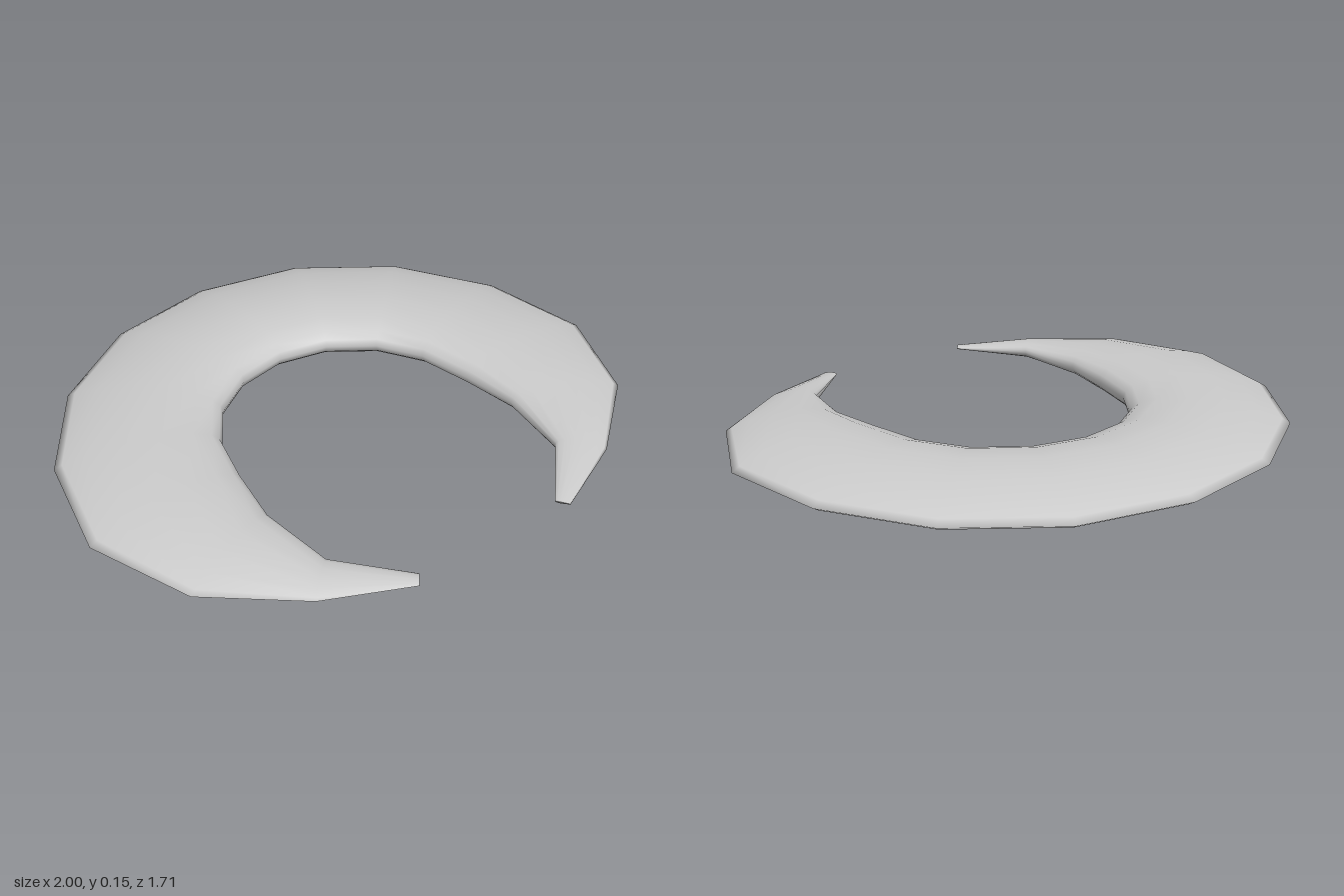
import * as THREE from 'three';

// Half of the crescent, from the middle of the back to the tip:
// inner x, inner z, outer x, outer z, half thickness
const STATIONS = [
  [0, -0.31, 0, -0.855, 0.075],
  [0.175, -0.275, 0.385, -0.78, 0.075],
  [0.325, -0.175, 0.71, -0.56, 0.075],
  [0.42, -0.03, 0.925, -0.235, 0.075],
  [0.465, 0.16, 1, 0.15, 0.075],
  [0.495, 0.355, 0.86, 0.5, 0.057],
  [0.46, 0.61, 0.58, 0.725, 0.031],
  [0.27, 0.81, 0.3, 0.85, 0.005],
];

// Upper half of the section: position from inner to outer edge, relative height
const UPPER = [
  [0, 0], [0.015, 0.32], [0.06, 0.6], [0.17, 0.86], [0.37, 1],
  [0.6, 0.86], [0.8, 0.56], [0.95, 0.22], [1, 0],
];

function crescentGeometry() {
  // Closed section: over the top, then back underneath
  const lower = UPPER.slice(1, -1).reverse().map(([t, h]) => [t, -h]);
  const section = [...UPPER, ...lower];
  const mirrored = STATIONS.slice(1).reverse().map(([a, b, c, d, h]) => [-a, b, -c, d, h]);
  const rings = [...mirrored, ...STATIONS];
  const n = section.length;
  const positions = [];
  const index = [];

  for (const [ix, iz, ox, oz, half] of rings) {
    for (const [t, h] of section) {
      positions.push(ix + (ox - ix) * t, 0.075 + half * h, iz + (oz - iz) * t);
    }
  }
  // Skin between neighbouring sections
  for (let i = 0; i < rings.length - 1; i++) {
    for (let k = 0; k < n; k++) {
      const a = i * n + k;
      const c = i * n + ((k + 1) % n);
      index.push(a, a + n, c, c, a + n, c + n);
    }
  }
  // Small flat ends at the two tips
  const last = (rings.length - 1) * n;
  for (let k = 1; k < n - 1; k++) {
    index.push(0, k, k + 1);
    index.push(last, last + k + 1, last + k);
  }

  const geometry = new THREE.BufferGeometry();
  geometry.setAttribute('position', new THREE.Float32BufferAttribute(positions, 3));
  geometry.setIndex(index);
  geometry.computeVertexNormals();
  return geometry;
}

export function createModel() {
  const group = new THREE.Group();
  const crescent = new THREE.Mesh(
    crescentGeometry(),
    new THREE.MeshStandardMaterial({ color: 0xcccccc }),
  );
  crescent.name = 'crescentBlade';
  group.add(crescent);
  return group;
}
